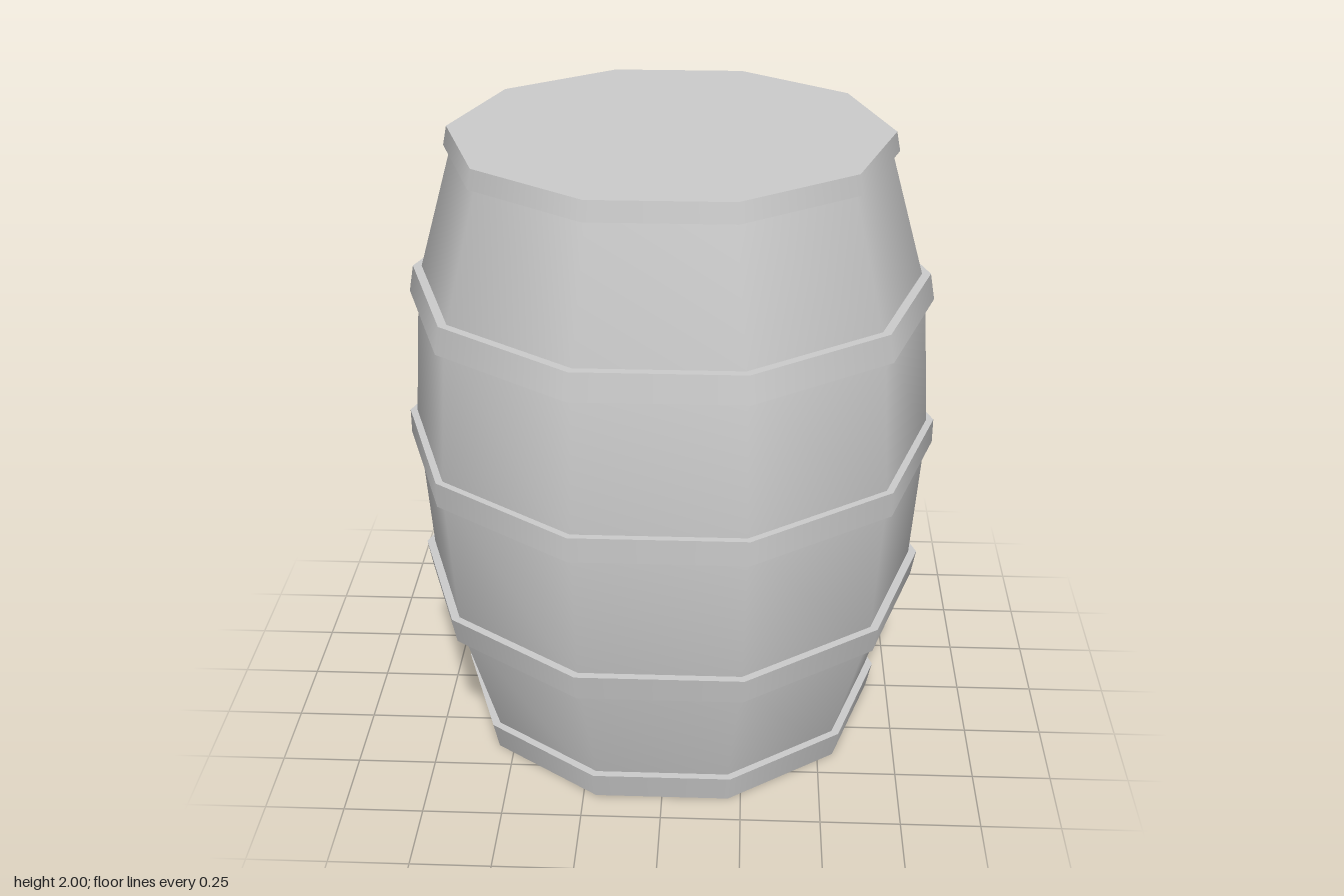
import * as THREE from 'three';
import { mergeGeometries } from 'three/addons/utils/BufferGeometryUtils.js';

const SIDES = 10;
const material = new THREE.MeshStandardMaterial({ color: 0xcccccc });

// Ten-sided lathe with a corner on the x axis
const lathe = (points) =>
  new THREE.LatheGeometry(points.map(([r, y]) => new THREE.Vector2(r, y)), SIDES, Math.PI / 2);

// One lathe per profile segment keeps the edges between segments sharp
function sharpLathe(points) {
  return mergeGeometries(points.slice(1).map((p, i) => lathe([points[i], p])));
}

export function createModel() {
  const group = new THREE.Group();
  const add = (name, geometry) => {
    const mesh = new THREE.Mesh(geometry, material);
    mesh.name = name;
    group.add(mesh);
  };

  // Bulging wooden body, smooth from end to end
  add('body', lathe([[0.65, 0.01], [0.795, 0.5], [0.83, 1], [0.795, 1.5], [0.655, 1.99]]));

  // Hoops: bottom radius, bottom height, top radius, top height
  const hoops = {
    bottomHoop: [0.68, 0, 0.70, 0.09],
    lowerHoop: [0.81, 0.46, 0.825, 0.545],
    middleHoop: [0.85, 0.96, 0.85, 1.04],
    upperHoop: [0.825, 1.46, 0.81, 1.545],
    topHoop: [0.692, 1.94, 0.68, 2],
  };
  for (const [name, [r0, y0, r1, y1]] of Object.entries(hoops)) {
    add(name, sharpLathe([[r0 - 0.06, y0], [r0, y0], [r1, y1], [r1 - 0.06, y1]]));
  }

  // Flat ends closing the barrel inside the end hoops
  add('bottomLid', lathe([[0, 0], [0.62, 0]]));
  add('topLid', lathe([[0.62, 2], [0, 2]]));

  return group;
}
